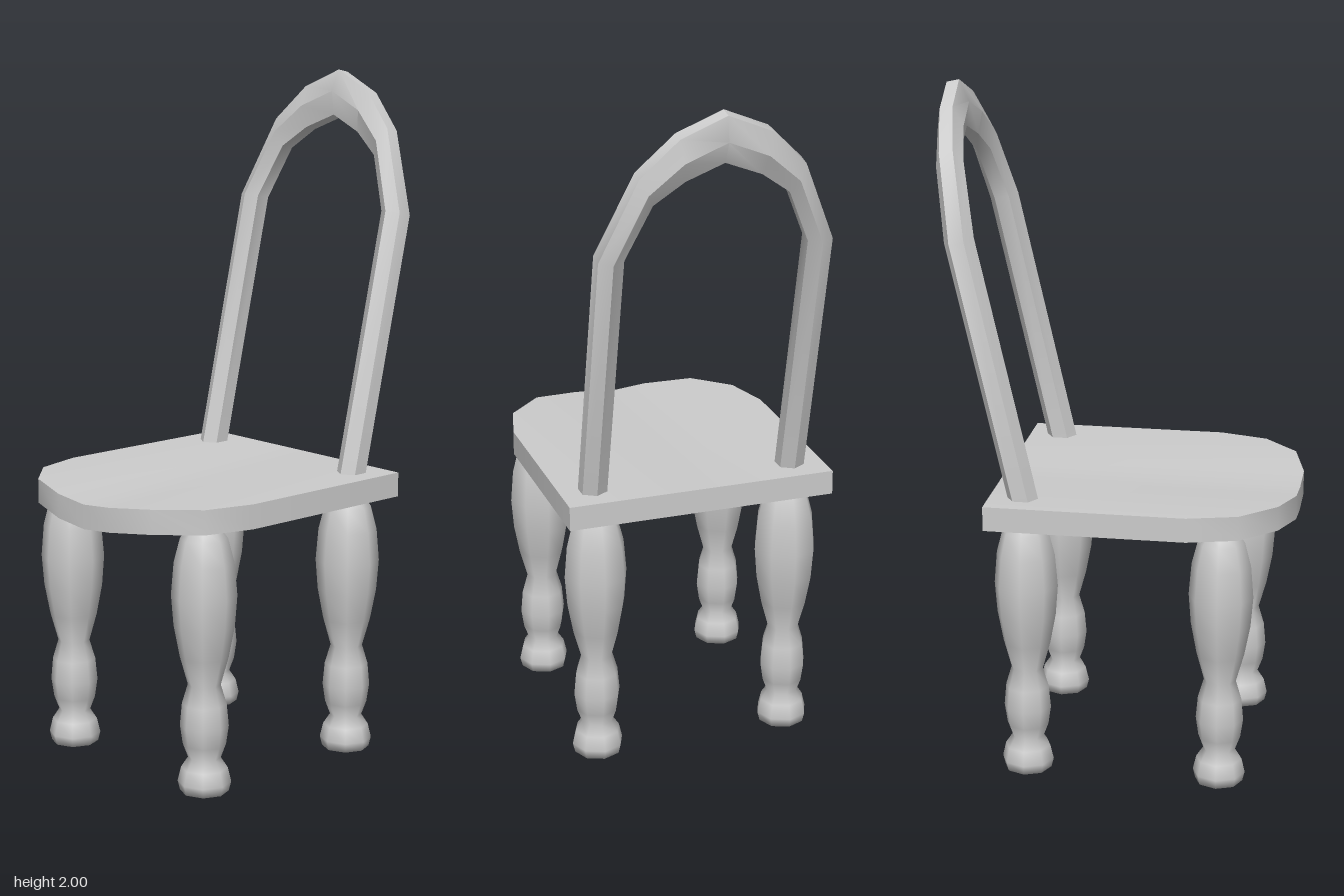
import * as THREE from 'three';
import { toCreasedNormals } from 'three/addons/utils/BufferGeometryUtils.js';

// Skin a closed tube over a list of rings (arrays of [x, y, z]) and cap both ends
function loft(rings, crease) {
  const n = rings[0].length, last = (rings.length - 1) * n, index = [];
  for (let i = 0; i < rings.length - 1; i++) {
    for (let j = 0; j < n; j++) {
      const a = i * n + j, b = i * n + (j + 1) % n;
      index.push(a, b, b + n, a, b + n, a + n);
    }
  }
  for (let j = 1; j < n - 1; j++) {
    index.push(0, j + 1, j, last, last + j, last + j + 1);
  }
  const geometry = new THREE.BufferGeometry();
  geometry.setAttribute('position', new THREE.Float32BufferAttribute(rings.flat(2), 3));
  geometry.setIndex(index);
  return toCreasedNormals(geometry, crease);
}

export function createModel() {
  const model = new THREE.Group();
  const material = new THREE.MeshStandardMaterial({ color: 0xcccccc });
  const add = (name, geometry) => {
    const mesh = new THREE.Mesh(geometry, material);
    mesh.name = name;
    model.add(mesh);
    return mesh;
  };

  // Seat: square back, rounded front, front edge dipping at the middle
  const half = [[0.4, 0.24], [0.36, 0.385], [0.255, 0.487], [0.113, 0.525]];
  const columns = [
    ...half.map(([x, z]) => [-x, z]), [0, 0.525], ...half.toReversed(),
  ];
  add('seat', loft(columns.map(([x, z]) => {
    const dip = 0.026 * Math.max(0, 1 - Math.abs(x) / 0.265);
    return [
      [x, 0.847, -0.345], [x, 0.847 - dip, z],
      [x, 0.775 - dip, z], [x, 0.775, -0.345],
    ];
  }), 0.7));

  // Turned legs
  const profile = [
    [0, 0], [0.07, 0], [0.077, 0.028], [0.067, 0.07], [0.047, 0.1], [0.062, 0.14],
    [0.07, 0.195], [0.064, 0.26], [0.047, 0.317], [0.07, 0.4], [0.087, 0.49],
    [0.094, 0.58], [0.086, 0.675], [0.068, 0.745], [0.045, 0.78],
  ].map(([r, y]) => new THREE.Vector2(r, y));
  const legGeometry = new THREE.LatheGeometry(profile, 8);
  for (const [end, z] of [['front', 0.33], ['back', -0.242]]) {
    for (const [side, x] of [['Left', 0.294], ['Right', -0.294]]) {
      add(end + side + 'Leg', legGeometry).position.set(x, 0, z);
    }
  }

  // Back hoop: hexagonal bar, thicker towards the crown
  // centre x, y, z; outward offset x, y; half depth
  const rightSide = [
    [-0.302, 0.81, -0.239, -0.037, 0, 0.043],
    [-0.302, 1.6, -0.42, -0.037, 0, 0.043],
    [-0.216, 1.797, -0.462, -0.021, 0.04, 0.04],
    [-0.12, 1.88, -0.481, -0.011, 0.061, 0.038],
  ];
  const stations = [
    ...rightSide,
    [0, 1.93, -0.49, 0, 0.067, 0.037],
    ...rightSide.toReversed().map(([x, y, z, ox, oy, d]) => [-x, y, z, -ox, oy, d]),
  ];
  add('backHoop', loft(stations.map(([x, y, z, ox, oy, depth]) =>
    Array.from({ length: 6 }, (_, k) => {
      const front = Math.cos(k * Math.PI / 3) * depth;
      const out = -Math.sin(k * Math.PI / 3) / Math.sin(Math.PI / 3);
      return [x + ox * out, y + oy * out + front * 0.22, z - oy * out * 0.15 + front];
    })), 0.6));

  return model;
}
